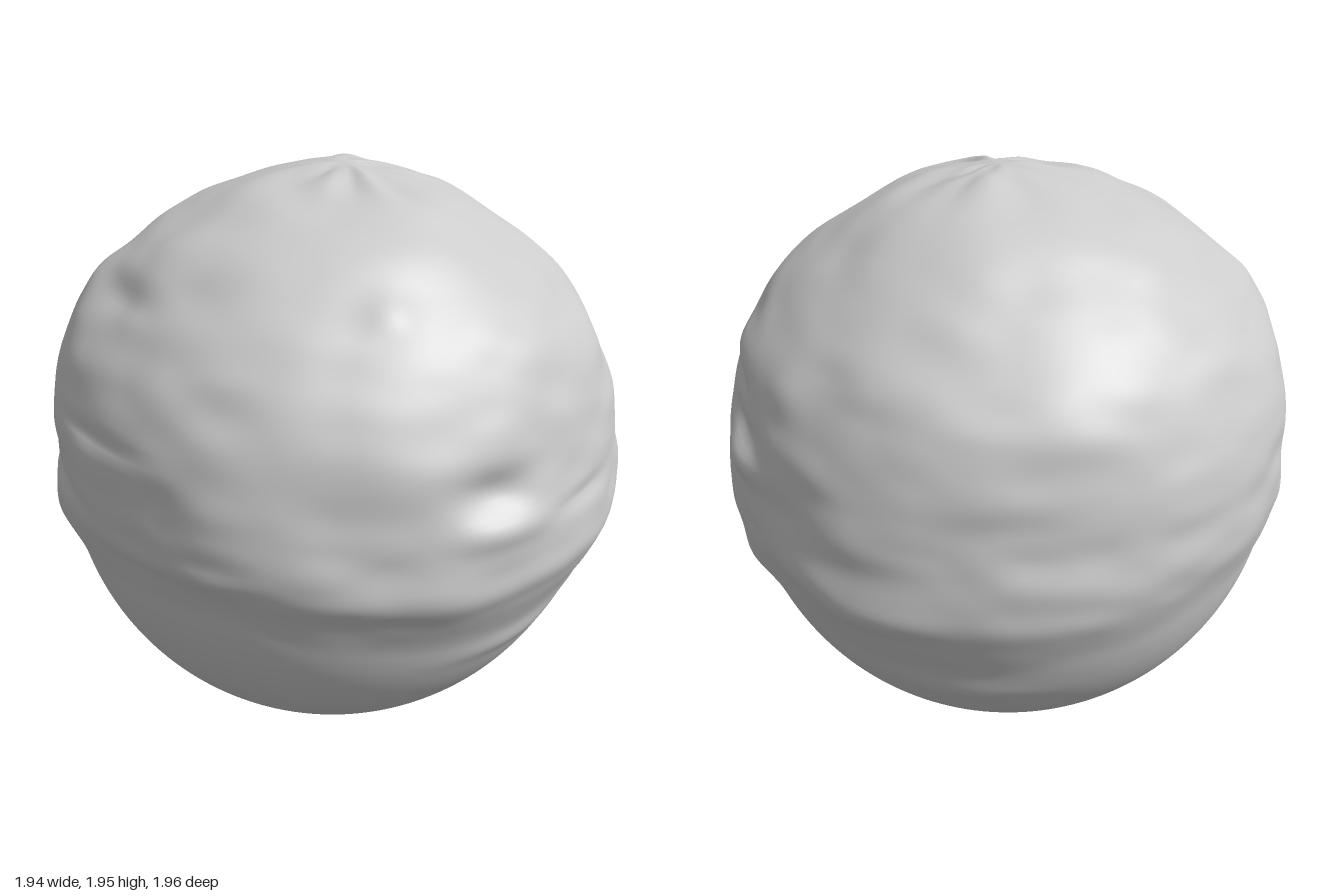
import * as THREE from 'three';
import { mergeVertices } from 'three/addons/utils/BufferGeometryUtils.js';

const BASE = 0.92; // radius of the smooth lower ball, also its centre height

// Every 22.5 degrees from the front towards +x: crust thickness at the waist, height of its lower edge
const WAIST = [0.063, 0.04, 0.06, 0.055, 0.052, 0.068, 0.04, 0.03,
  0.055, 0.035, 0.035, 0.042, 0.05, 0.03, 0.046, 0.056];
const EDGE = [0.76, 0.66, 0.62, 0.6, 0.56, 0.52, 0.58, 0.6,
  0.57, 0.58, 0.66, 0.72, 0.73, 0.74, 0.7, 0.76];

// Individual lumps and pits: azimuth, height, angular width, vertical width, rise
const FEATURES = [
  [49, 1.19, 8, 0.06, -0.05], [50, 1.08, 9, 0.045, 0.03],
  [146, 1.13, 9, 0.05, 0.03], [134, 1.33, 13, 0.04, -0.022],
  [140, 1.22, 9, 0.04, -0.022], [142, 0.74, 9, 0.07, 0.025],
  [-30, 1.26, 14, 0.025, -0.018], [-12, 0.95, 20, 0.035, 0.01],
  [-52, 0.86, 9, 0.07, 0.025], [-48, 1.03, 15, 0.03, -0.015],
  [25, 0.9, 14, 0.06, 0.015], [73, 1.07, 8, 0.025, -0.015],
  [60, 0.87, 24, 0.05, 0.012], [62, 0.56, 14, 0.04, 0.01],
  [90, 0.62, 10, 0.06, 0.012], [108, 0.42, 13, 0.08, 0.018],
  [180, 0.88, 13, 0.09, 0.022], [210, 1.2, 10, 0.08, -0.015],
  [198, 0.5, 15, 0.06, 0.013], [34, 1.62, 6, 0.05, 0.02],
  [-40, 1.6, 18, 0.04, -0.015],
];

const smooth = THREE.MathUtils.smoothstep;
const mix = THREE.MathUtils.lerp;

function hash(x, y, z) {
  const s = Math.sin(x * 127.1 + y * 311.7 + z * 74.7) * 43758.5453;
  return s - Math.floor(s);
}

// Smooth value noise from -1 to 1
function noise(x, y, z) {
  const [i, j, k] = [x, y, z].map(Math.floor);
  const [u, v, w] = [x - i, y - j, z - k].map((t) => t * t * (3 - 2 * t));
  const row = (b, c) => mix(hash(i, j + b, k + c), hash(i + 1, j + b, k + c), u);
  const layer = (c) => mix(row(0, c), row(1, c), v);
  return mix(layer(0), layer(1), w) * 2 - 1;
}

// Value from a table that runs once around the ball
function around(table, azimuth) {
  const t = ((azimuth + 360) % 360) / 360 * table.length;
  const i = Math.floor(t) % table.length;
  return mix(table[i], table[(i + 1) % table.length], smooth(t - Math.floor(t), 0, 1));
}

function radiusAt(d) {
  const azimuth = THREE.MathUtils.radToDeg(Math.atan2(d.x, d.z));
  const y = BASE + d.y * 0.98;
  const low = around(EDGE, azimuth);
  const crust = smooth(y, low, low + 0.32);

  // Crust thickness from waist to shoulder, with stretched waves and finer wrinkles
  const shoulder = 0.09 + 0.015 * d.z;
  let rise = crust * mix(around(WAIST, azimuth), shoulder, smooth(y, 1.05, 1.5));
  rise += crust * (0.014 * noise(d.x * 3 + 5, d.y * 6 + 2, d.z * 3 + 9)
    + 0.008 * noise(d.x * 6 + 1, d.y * 12 + 7, d.z * 6 + 3));

  // Irregular creases running out from the crown
  const px = d.x - 0.05;
  const polar = Math.hypot(px, d.z) + 1e-6;
  rise += 0.022 * smooth(d.y, 0.8, 0.95) * smooth(polar, 0, 0.12) * (1 - smooth(polar, 0.15, 0.5))
    * noise(px / polar * 2.5 + 4, polar * 5, d.z / polar * 2.5 + 8);

  for (const [a, h, wa, wh, amount] of FEATURES) {
    const da = ((azimuth - a + 540) % 360) - 180;
    rise += amount * Math.exp(-((da / wa) ** 2) - ((y - h) / wh) ** 2);
  }
  return BASE + rise;
}

export function createModel() {
  const group = new THREE.Group();
  group.name = 'lumpyBall';

  let geometry = new THREE.SphereGeometry(1, 220, 150);
  geometry.deleteAttribute('uv');
  geometry.deleteAttribute('normal');
  geometry = mergeVertices(geometry, 1e-5);

  // Push every point out to the crust surface, standing on the ground
  const pos = geometry.attributes.position;
  const d = new THREE.Vector3();
  for (let i = 0; i < pos.count; i++) {
    d.fromBufferAttribute(pos, i).normalize();
    d.multiplyScalar(radiusAt(d));
    pos.setXYZ(i, d.x, d.y + BASE, d.z);
  }
  geometry.computeVertexNormals();

  const ball = new THREE.Mesh(geometry, new THREE.MeshStandardMaterial({ color: 0xcccccc }));
  ball.name = 'crustedBall';
  group.add(ball);
  return group;
}
